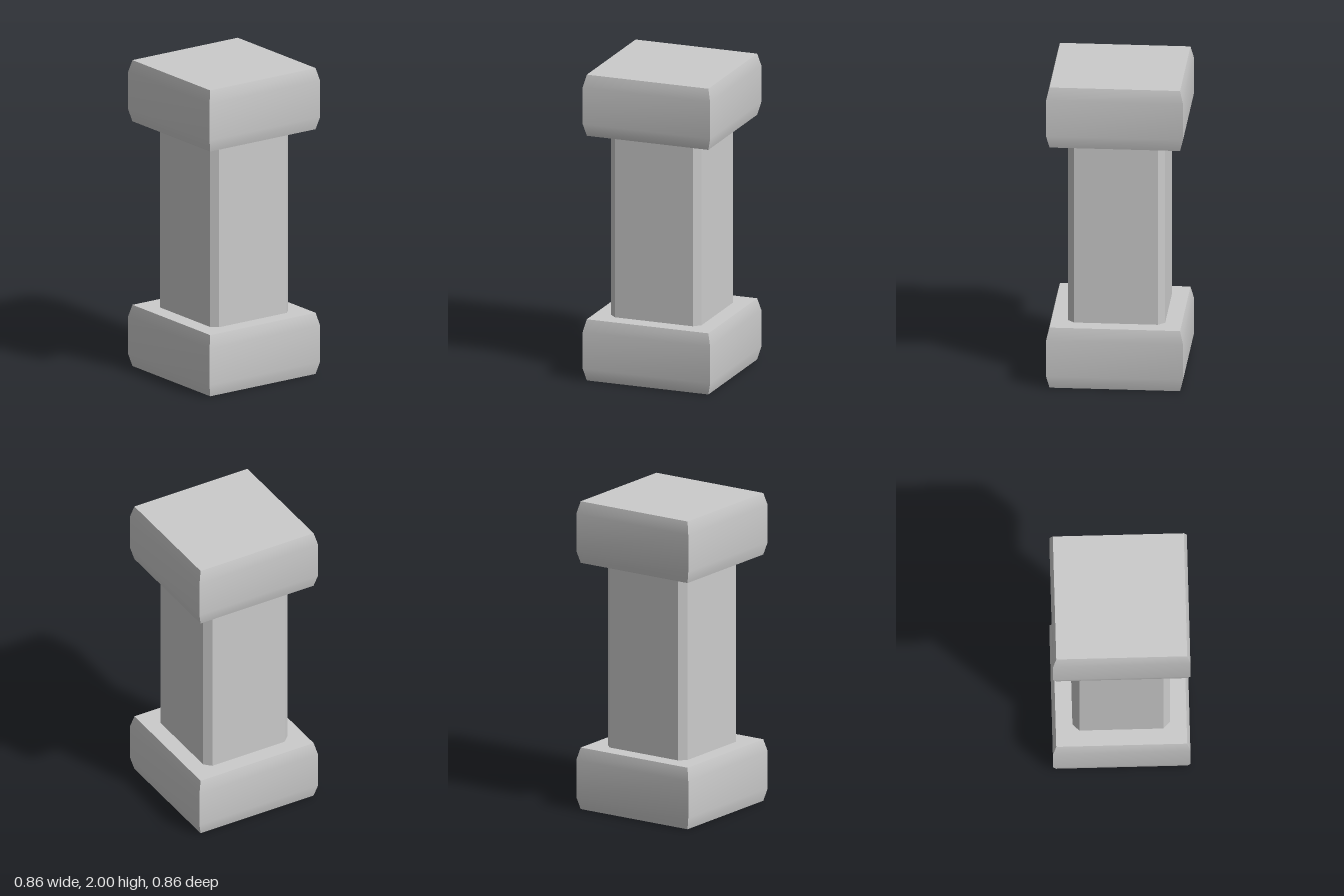
import * as THREE from 'three';

const material = new THREE.MeshStandardMaterial({ color: 0xcccccc });

// Square block whose four sides taper in slightly near the top and bottom edges
function createBlock(name, y) {
  const height = 0.4, half = 0.43, endHalf = 0.41, bevel = 0.08;
  const geometry = new THREE.BoxGeometry(half * 2, height, half * 2, 1, 3, 1);
  const p = geometry.attributes.position;
  for (let i = 0; i < p.count; i++) {
    const py = p.getY(i);
    if (Math.abs(py) > height / 2 - 0.001) {
      p.setX(i, Math.sign(p.getX(i)) * endHalf);
      p.setZ(i, Math.sign(p.getZ(i)) * endHalf);
    } else {
      p.setY(i, Math.sign(py) * (height / 2 - bevel));
    }
  }
  // Each side keeps its own vertices: smooth up the side, sharp at the corners
  geometry.computeVertexNormals();
  const mesh = new THREE.Mesh(geometry, material);
  mesh.name = name;
  mesh.position.y = y;
  return mesh;
}

// Square shaft with chamfered vertical corners
function createShaft() {
  const a = 0.305, b = 0.263;
  const outline = new THREE.Shape([
    [a, -b], [a, b], [b, a], [-b, a], [-a, b], [-a, -b], [-b, -a], [b, -a],
  ].map(([x, y]) => new THREE.Vector2(x, y)));
  const geometry = new THREE.ExtrudeGeometry(outline, { depth: 1.2, bevelEnabled: false });
  geometry.rotateX(-Math.PI / 2);
  const mesh = new THREE.Mesh(geometry, material);
  mesh.name = 'shaft';
  mesh.position.y = 0.4;
  return mesh;
}

export function createModel() {
  const pillar = new THREE.Group();
  pillar.name = 'pillar';
  pillar.add(createBlock('base', 0.2), createShaft(), createBlock('capital', 1.8));
  return pillar;
}
